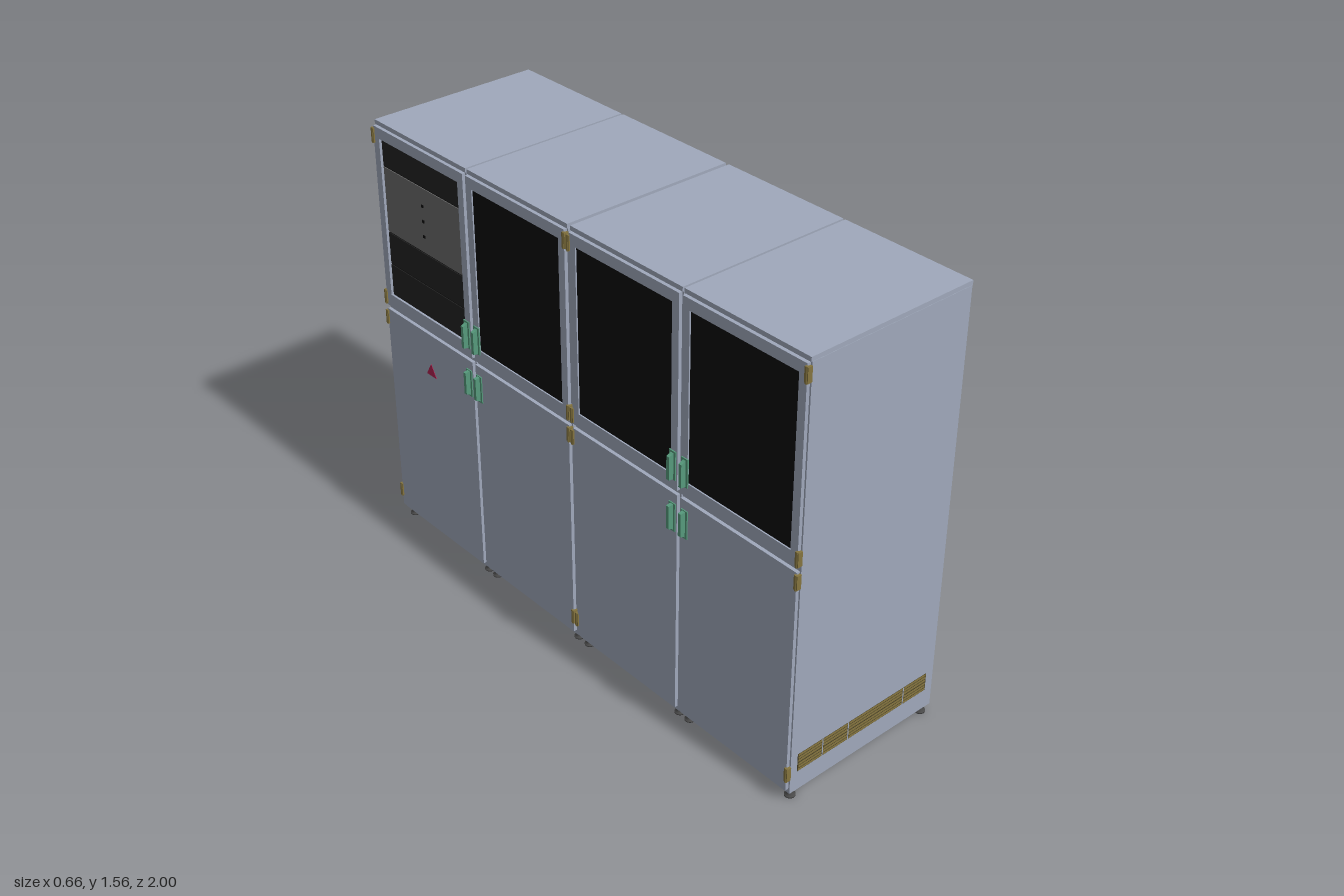
import * as THREE from 'three';

const mat = (color, extra = {}) => new THREE.MeshStandardMaterial({ color, ...extra });

export function createModel() {
  const model = new THREE.Group();
  model.name = 'cabinetRow';
  const steel = mat(0x9fa8bb), gold = mat(0x84743f), green = mat(0x569a7c);
  const black = mat(0x0a0a0a), dark = mat(0x232323), grey = mat(0x6b6b6b);
  const footMat = mat(0x4a4a4a), red = mat(0xb02050), slot = mat(0x4d4428);

  // box given by its limits on each axis
  function box(parent, name, material, x0, x1, y0, y1, z0, z1) {
    const m = new THREE.Mesh(new THREE.BoxGeometry(x1 - x0, y1 - y0, z1 - z0), material);
    m.position.set((x0 + x1) / 2, (y0 + y1) / 2, (z0 + z1) / 2);
    m.name = name;
    parent.add(m);
    return m;
  }

  const rect = (C, w, y0, y1) => new C([[-w, y0], [w, y0], [w, y1], [-w, y1]].map(p => new THREE.Vector2(...p)));

  // flat panel in the z-y plane, growing toward +x from x0
  function panel(parent, name, shape, material, x0, depth) {
    const geo = new THREE.ExtrudeGeometry(shape, { depth, bevelEnabled: false });
    const m = new THREE.Mesh(geo, material);
    m.rotation.y = Math.PI / 2;
    m.position.x = x0;
    m.name = name;
    parent.add(m);
    return m;
  }

  // grip profile in x-y, y measured from the split between the doors
  const gripShape = new THREE.Shape([[-0.31, 0.044], [-0.333, 0.047], [-0.333, 0.128], [-0.322, 0.132], [-0.31, 0.14]]
    .map(p => new THREE.Vector2(...p)).reverse());
  const gripGeo = new THREE.ExtrudeGeometry(gripShape, { depth: 0.012, bevelEnabled: false });
  gripGeo.translate(0, 0, -0.006);

  const split = 0.874, W = 0.2445;

  function cabinet(cz, hingeDir, equipped) {
    const cab = new THREE.Group();
    cab.name = 'cabinet';
    cab.position.z = cz;

    // shell, roof and rear panel
    box(cab, 'body', steel, -0.298, 0.327, 0.03, 1.544, -W, W);
    box(cab, 'roof', steel, -0.302, 0.329, 1.545, 1.56, -W, W);
    box(cab, 'rearPanel', gold, 0.32, 0.33, 0.075, 1.53, -0.238, 0.238);

    // doors: upper with window opening, lower solid
    const upper = rect(THREE.Shape, 0.241, split + 0.008, 1.543);
    upper.holes.push(rect(THREE.Path, 0.212, 0.93, 1.505));
    panel(cab, 'upperDoor', upper, steel, -0.312, 0.012);
    panel(cab, 'lowerDoor', rect(THREE.Shape, 0.241, 0.05, split - 0.008), steel, -0.312, 0.012);

    // window contents
    if (equipped) {
      const bands = [[0.93, 1.045, dark], [1.05, 1.165, dark], [1.17, 1.405, grey], [1.41, 1.505, dark]];
      box(cab, 'equipmentBack', black, -0.301, -0.297, 0.93, 1.505, -0.212, 0.212);
      for (const [y0, y1, m] of bands) box(cab, 'equipmentPanel', m, -0.304, -0.3, y0, y1, -0.21, 0.21);
      for (const y of [1.23, 1.285, 1.34]) box(cab, 'indicator', black, -0.306, -0.303, y - 0.005, y + 0.005, -0.005, 0.005);
      // warning triangle on the lower door
      const tri = new THREE.Shape([[-0.027, 0.705], [0.027, 0.705], [0, 0.752]].map(p => new THREE.Vector2(...p)));
      panel(cab, 'warningTriangle', tri, red, -0.3135, 0.002);
    } else {
      box(cab, 'windowGlass', black, -0.307, -0.298, 0.93, 1.505, -0.212, 0.212);
    }

    // hinges
    for (const y of [0.115, 0.834, 0.914, 1.51]) {
      const z = hingeDir * 0.242;
      box(cab, 'hinge', gold, -0.317, -0.3, y - 0.025, y + 0.025, z - 0.007, z + 0.007);
      const pin = new THREE.Mesh(new THREE.CylinderGeometry(0.005, 0.005, 0.054, 12), gold);
      pin.position.set(-0.314, y, z);
      pin.name = 'hingePin';
      cab.add(pin);
    }

    // handles, mirrored above and below the split
    for (const s of [1, -1]) {
      const handle = new THREE.Group();
      handle.name = 'handle';
      handle.position.set(0, split, -hingeDir * 0.222);
      box(handle, 'handlePlate', green, -0.316, -0.311, Math.min(s * 0.042, s * 0.142), Math.max(s * 0.042, s * 0.142), -0.014, 0.014);
      const grip = new THREE.Mesh(gripGeo, green);
      if (s < 0) {
        // mirrored copy with corrected winding
        grip.geometry = gripGeo.clone().scale(1, -1, 1);
        const p = grip.geometry.toNonIndexed();
        const a = p.attributes.position;
        for (let i = 0; i < a.count; i += 3) {
          const v = [a.getX(i), a.getY(i), a.getZ(i)];
          a.setXYZ(i, a.getX(i + 1), a.getY(i + 1), a.getZ(i + 1));
          a.setXYZ(i + 1, ...v);
        }
        p.computeVertexNormals();
        grip.geometry = p;
      }
      grip.name = 'handleGrip';
      handle.add(grip);
      cab.add(handle);
    }

    // levelling feet
    for (const x of [-0.275, 0.305]) for (const z of [-0.225, 0.225]) {
      const profile = [[0, 0], [0.018, 0], [0.018, 0.005], [0.008, 0.009], [0.008, 0.032], [0, 0.032]];
      const geo = new THREE.LatheGeometry(profile.map(p => new THREE.Vector2(...p)), 16);
      const foot = new THREE.Mesh(geo, footMat);
      foot.position.set(x, 0, z);
      foot.name = 'foot';
      cab.add(foot);
    }
    model.add(cab);
  }

  for (const s of [-1, 1]) {
    cabinet(s * 0.2515, -s, false);
    cabinet(s * 0.7485, s, s < 0);

    // louvred vent on each end wall
    const vent = new THREE.Group();
    vent.name = 'endVent';
    const z = s * 0.993;
    box(vent, 'ventBack', slot, -0.27, 0.295, 0.105, 0.172, z - 0.001, z + 0.001);
    const edges = [-0.27, -0.165, -0.055, 0.19, 0.295];
    for (let i = 0; i < 4; i++) for (let r = 0; r < 6; r++) {
      const y = 0.107 + r * 0.011 + (r > 2 ? 0.002 : 0);
      box(vent, 'louvre', gold, edges[i] + 0.003, edges[i + 1] - 0.003, y, y + 0.007, z - 0.002, z + 0.002);
    }
    for (const x of edges.slice(1, 4)) box(vent, 'ventDivider', steel, x - 0.002, x + 0.002, 0.105, 0.172, z - 0.002, z + 0.002);
    model.add(vent);
  }
  return model;
}
